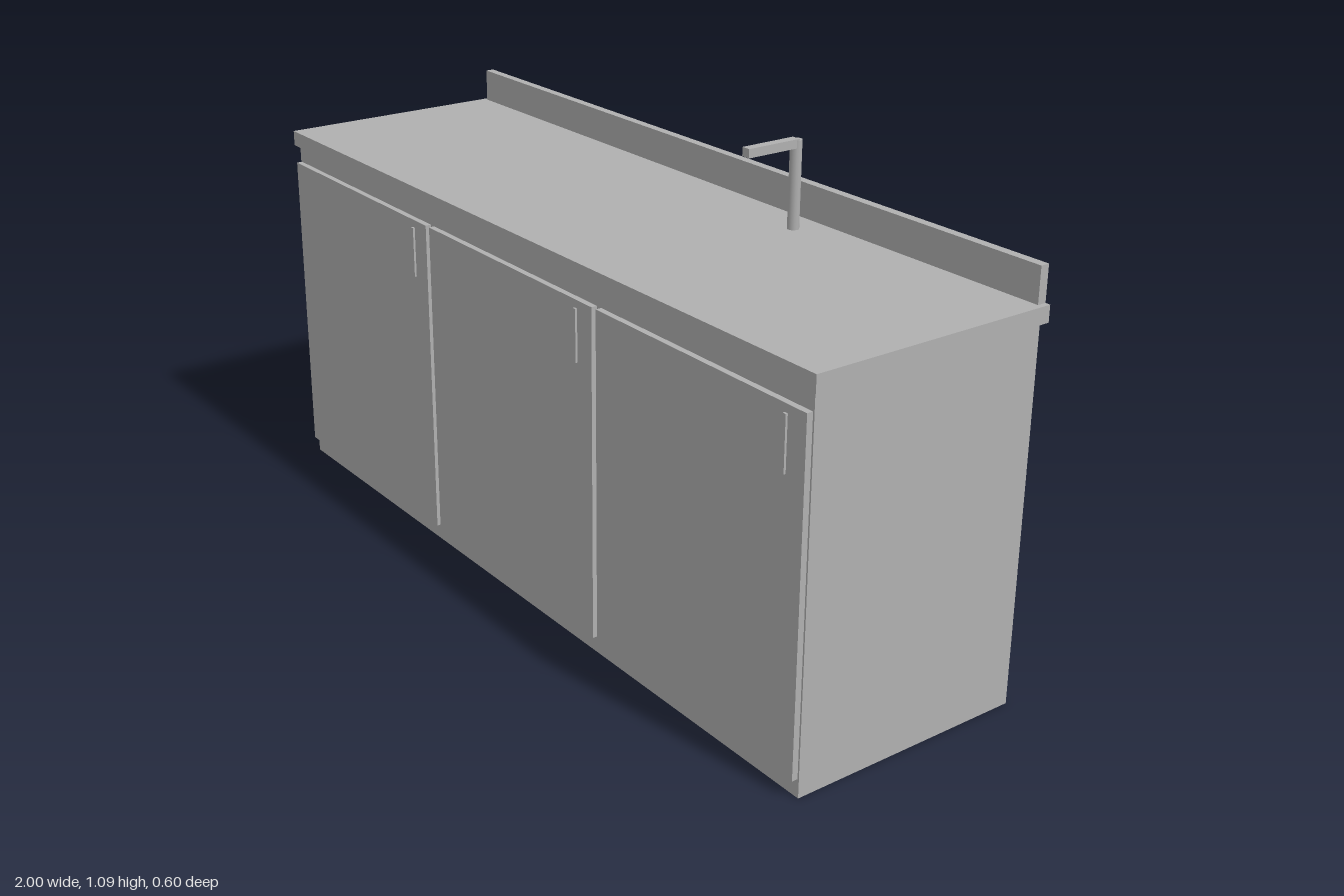
import * as THREE from 'three';

const grey = new THREE.MeshStandardMaterial({ color: 0xb0b0b0, name: 'grey' });

// Box given by its min and max along each axis
function slab(name, [x0, x1], [y0, y1], [z0, z1]) {
  const mesh = new THREE.Mesh(new THREE.BoxGeometry(x1 - x0, y1 - y0, z1 - z0), grey);
  mesh.position.set((x0 + x1) / 2, (y0 + y1) / 2, (z0 + z1) / 2);
  mesh.name = name;
  return mesh;
}

export function createModel() {
  const model = new THREE.Group();
  model.name = 'sinkCabinet';

  // Carcass, worktop and splashback
  model.add(
    slab('cabinetBody', [-0.988, 0.988], [0, 0.854], [-0.29, 0.284]),
    slab('worktop', [-1, 1], [0.854, 0.891], [-0.301, 0.294]),
    slab('splashback', [-0.988, 0.988], [0.891, 0.971], [-0.301, -0.28]),
  );

  // Three doors, each with a slim upright handle on its left edge
  for (let i = -1; i <= 1; i++) {
    const door = new THREE.Group();
    door.name = 'door';
    door.add(
      slab('doorPanel', [-0.323, 0.323], [0.042, 0.812], [0.284, 0.298]),
      slab('doorHandle', [0.264, 0.272], [0.674, 0.794], [0.298, 0.303]),
    );
    door.position.x = i * 0.661;
    model.add(door);
  }

  // Tap: round riser with a square spout reaching forward
  const tap = new THREE.Group();
  tap.name = 'tap';
  const riser = new THREE.Mesh(new THREE.CylinderGeometry(0.0135, 0.0135, 0.198, 12), grey);
  riser.name = 'tapRiser';
  riser.position.set(0, 0.99, -0.211);
  tap.add(riser, slab('tapSpout', [-0.011, 0.011], [1.072, 1.092], [-0.211, -0.073]));
  tap.position.x = 0.354;
  model.add(tap);

  return model;
}
